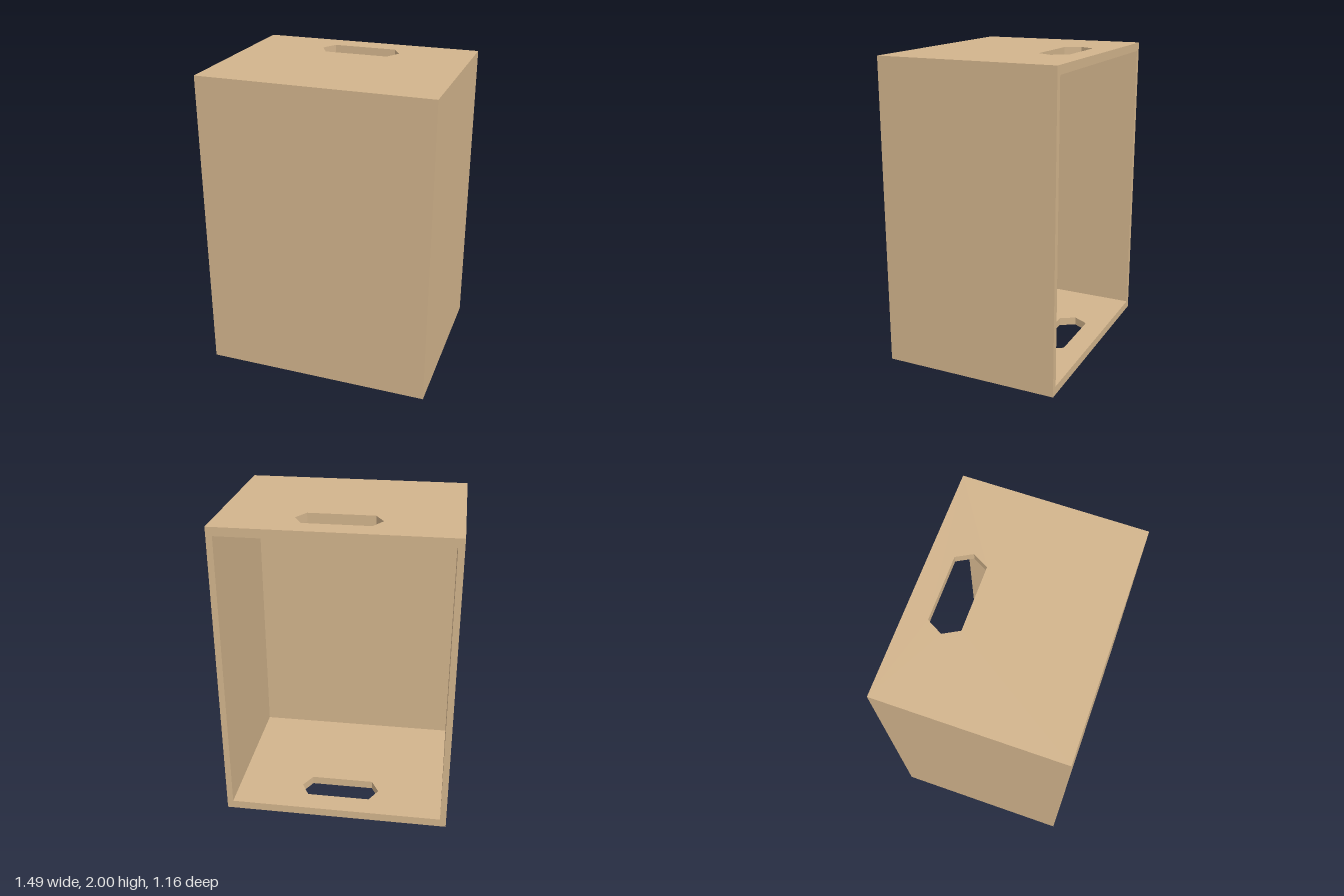
import * as THREE from 'three';

const W = 1.485, H = 2, D = 1.163;           // outer size
const SIDE = 0.04, CAP = 0.055, FRONT = 0.075; // panel thicknesses

export function createModel() {
  const group = new THREE.Group();
  const tan = new THREE.MeshStandardMaterial({ color: 0xd2b48c });
  tan.name = 'tan wood';

  const add = (name, geometry, x, y, z) => {
    const mesh = new THREE.Mesh(geometry, tan);
    mesh.name = name;
    mesh.position.set(x, y, z);
    group.add(mesh);
  };

  // Horizontal panel with a six-sided hand hole near the open back
  const outline = [[-W / 2, -D / 2], [W / 2, -D / 2], [W / 2, D / 2], [-W / 2, D / 2]];
  const hole = [[-0.265, 0.335], [-0.21, 0.435], [0.21, 0.435], [0.265, 0.335], [0.21, 0.235], [-0.21, 0.235]];
  const points = list => list.map(([x, y]) => new THREE.Vector2(x, y));
  const shape = new THREE.Shape(points(outline));
  shape.holes.push(new THREE.Path(points(hole)));
  const panel = new THREE.ExtrudeGeometry(shape, { depth: CAP, bevelEnabled: false });
  panel.rotateX(-Math.PI / 2);
  add('bottomPanel', panel, 0, 0, 0);
  add('topPanel', panel, 0, H - CAP, 0);

  // Side walls between the two panels
  const inner = H - 2 * CAP;
  const wall = new THREE.BoxGeometry(SIDE, inner, D);
  add('leftWall', wall, (W - SIDE) / 2, H / 2, 0);
  add('rightWall', wall, -(W - SIDE) / 2, H / 2, 0);

  // Closed front; the back stays open
  add('frontWall', new THREE.BoxGeometry(W - 2 * SIDE, inner, FRONT), 0, H / 2, (D - FRONT) / 2);

  return group;
}
